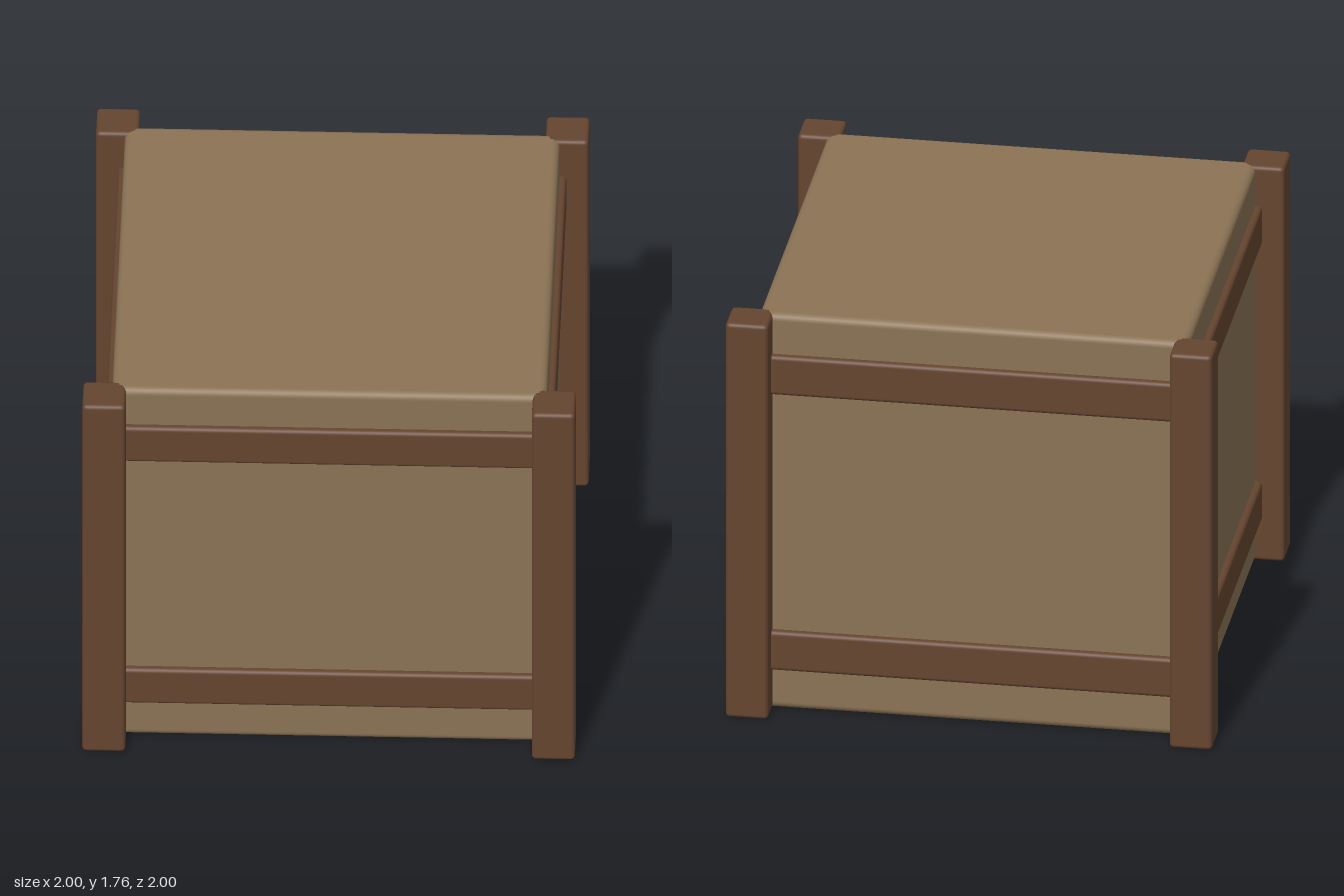
import * as THREE from 'three';
import { RoundedBoxGeometry } from 'three/addons/geometries/RoundedBoxGeometry.js';

const HEIGHT = 1.765;

export function createModel() {
  const crate = new THREE.Group();
  crate.name = 'crate';
  const panelWood = new THREE.MeshStandardMaterial({ color: 0x8b7355 });
  const frameWood = new THREE.MeshStandardMaterial({ color: 0x654530 });

  const addBlock = (name, parent, size, position, radius, material) => {
    const mesh = new THREE.Mesh(new RoundedBoxGeometry(...size, 3, radius), material);
    mesh.name = name;
    mesh.position.set(...position);
    parent.add(mesh);
  };

  // Closed box with softened edges
  addBlock('body', crate, [1.765, HEIGHT, 1.765], [0, HEIGHT / 2, 0], 0.03, panelWood);

  // Each quarter turn carries one corner post and the two rails of one side
  for (let i = 0; i < 4; i++) {
    const side = new THREE.Group();
    side.name = ['front', 'left', 'back', 'right'][i] + 'Frame';
    side.rotation.y = (i * Math.PI) / 2;
    addBlock('cornerPost', side, [0.175, HEIGHT, 0.175], [0.9125, HEIGHT / 2, 0.9125], 0.018, frameWood);
    addBlock('lowerRail', side, [1.72, 0.175, 0.09], [0, 0.268, 0.865], 0.018, frameWood);
    addBlock('upperRail', side, [1.72, 0.175, 0.09], [0, 1.502, 0.865], 0.018, frameWood);
    crate.add(side);
  }
  return crate;
}
